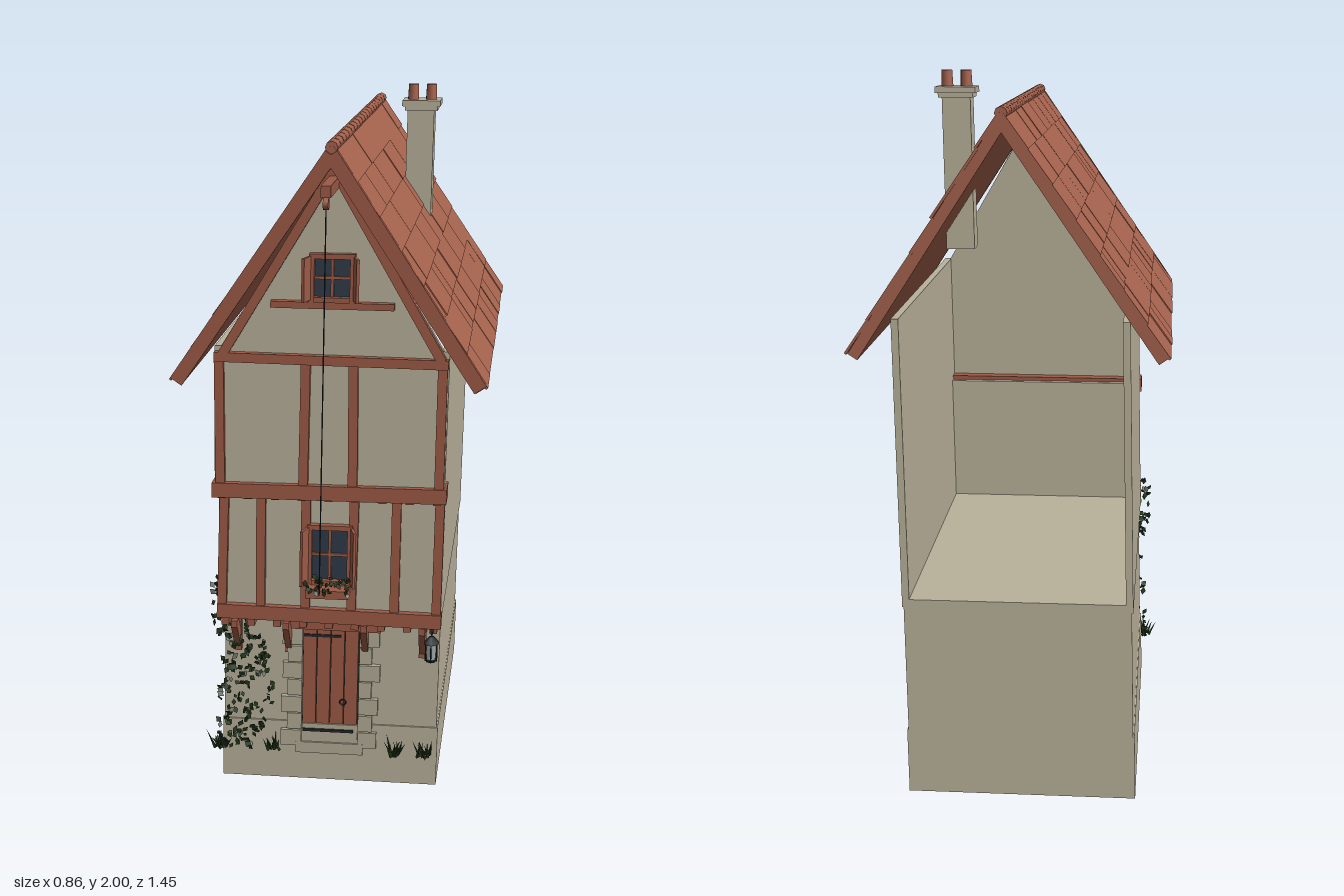
import * as THREE from 'three';
import { mergeGeometries } from 'three/addons/utils/BufferGeometryUtils.js';

const paint = (name, color, side = THREE.FrontSide) => {
  const m = new THREE.MeshStandardMaterial({ color, side });
  m.name = name;
  return m;
};

export function createModel() {
  const group = new THREE.Group();
  group.name = 'timberHouse';
  const plaster = paint('plaster', 0xb9b19b);
  const stone = paint('stone', 0xb3ab97);
  const timber = paint('timber', 0x9c5a46);
  const tile = paint('roofTile', 0xa5624d);
  const glass = paint('windowGlass', 0x2f3a48);
  const iron = paint('iron', 0x24282b);
  const lampGlass = paint('lampGlass', 0xa9b3b3);
  const leaf = paint('leaf', 0x23381c, THREE.DoubleSide);

  let seed = 7;
  const rnd = (a = 0, b = 1) => {
    seed = (seed * 16807) % 2147483647;
    return a + (b - a) * (seed / 2147483647);
  };

  // Merge the pieces of a part; the whole old house leans slightly to +x
  const part = (name, material, geos) => {
    const g = mergeGeometries(geos.map((q) => {
      const n = q.index ? q.toNonIndexed() : q;
      n.deleteAttribute('uv');
      return n;
    }));
    const p = g.attributes.position;
    for (let i = 0; i < p.count; i++) p.setX(i, p.getX(i) - 0.0325 + 0.0225 * p.getY(i));
    const mesh = new THREE.Mesh(g, material);
    mesh.name = name;
    group.add(mesh);
  };
  const box = (x0, x1, y0, y1, z0, z1) => new THREE.BoxGeometry(x1 - x0, y1 - y0, z1 - z0)
    .translate((x0 + x1) / 2, (y0 + y1) / 2, (z0 + z1) / 2);
  // Timber between two points of the facade plane
  const beam = (xa, ya, xb, yb, w, z0, z1) =>
    new THREE.BoxGeometry(Math.hypot(xb - xa, yb - ya), w, z1 - z0)
      .rotateZ(Math.atan2(yb - ya, xb - xa))
      .translate((xa + xb) / 2, (ya + yb) / 2, (z0 + z1) / 2);
  const extrude = (pts, depth) => new THREE.ExtrudeGeometry(
    new THREE.Shape(pts.map(([a, b]) => new THREE.Vector2(a, b))), { depth, bevelEnabled: false });
  const cyl = (r0, r1, h, x, y, z, n = 8) => new THREE.CylinderGeometry(r0, r1, h, n).translate(x, y, z);

  // Ground storey on a slightly wider plinth
  part('plinth', plaster, [box(-0.32, 0.32, 0, 0.185, -0.615, 0.393)]);
  part('groundStorey', plaster, [box(-0.316, 0.316, 0.185, 0.555, -0.615, 0.388)]);

  // Upper storeys: stepped side walls, jettied fronts, open back
  const sideWall = () => extrude([[-0.615, 0.55], [0.47, 0.55], [0.47, 0.95], [0.53, 0.95],
    [0.53, 1.36], [-0.615, 1.36]], 0.02).rotateY(-Math.PI / 2);
  part('sideWalls', plaster, [sideWall().translate(0.32, 0, 0), sideWall().translate(-0.3, 0, 0)]);
  part('upperFloor', plaster, [box(-0.3, 0.3, 0.55, 0.572, -0.615, 0.47)]);
  part('frontWalls', plaster, [
    box(-0.3, 0.3, 0.55, 0.96, 0.45, 0.47),
    box(-0.3, 0.3, 0.95, 1.34, 0.51, 0.53),
    box(-0.3, 0.3, 0.95, 0.962, 0.45, 0.53),
    extrude([[-0.32, 1.33], [0.32, 1.33], [0, 1.865]], 0.02).translate(0, 0, 0.51)]);

  // Facade timbers
  const posts = (xs, y0, y1, z) => xs.map((x) =>
    beam(x + rnd(-0.004, 0.004), y0, x + rnd(-0.004, 0.004), y1, 0.026, z, z + 0.014));
  part('lowerPosts', timber, posts([-0.305, -0.195, -0.07, 0.065, 0.185, 0.305], 0.575, 0.94, 0.47));
  part('upperPosts', timber, posts([-0.305, -0.07, 0.065, 0.303], 0.965, 1.325, 0.53));
  part('railBeams', timber, [
    beam(-0.322, 0.568, 0.322, 0.56, 0.042, 0.455, 0.49),
    beam(-0.326, 0.952, 0.326, 0.954, 0.042, 0.47, 0.548),
    beam(-0.32, 1.333, 0.318, 1.326, 0.026, 0.53, 0.55)]);
  const joists = [];
  for (let i = 0; i < 9; i++) {
    const x = -0.3 + i * 0.075;
    joists.push(box(x - 0.011, x + 0.011, 0.52, 0.548, 0.38, 0.475));
    joists.push(box(x - 0.011, x + 0.011, 0.925, 0.948, 0.46, 0.535));
  }
  part('joistEnds', timber, joists);
  part('gableTimbers', timber, [
    beam(-0.3, 1.335, 0.003, 1.85, 0.026, 0.53, 0.55),
    beam(0.3, 1.335, -0.003, 1.85, 0.026, 0.53, 0.55),
    beam(-0.165, 1.483, 0.168, 1.481, 0.018, 0.53, 0.552)]);
  part('jettyBrackets', timber, [-0.275, -0.125, 0.1, 0.267].flatMap((x) => [
    box(x - 0.01, x + 0.01, 0.41, 0.53, 0.385, 0.402),
    extrude([[0.39, 0.425], [0.405, 0.425], [0.47, 0.51], [0.47, 0.53], [0.445, 0.53], [0.39, 0.46]], 0.018)
      .rotateY(-Math.PI / 2).translate(x + 0.009, 0, 0)]));

  // Windows with frame, glazing bars and open shutters
  const windowUnit = (name, y0, y1, w, z) => {
    const f = 0.014, h = w / 2, ym = (y0 + y1) / 2;
    part(name + 'Glass', glass, [box(-h, h, y0, y1, z, z + 0.006)]);
    part(name + 'Frame', timber, [
      box(-h - f, -h, y0 - f, y1 + f, z, z + 0.02), box(h, h + f, y0 - f, y1 + f, z, z + 0.02),
      box(-h, h, y1, y1 + f, z, z + 0.02), box(-h, h, y0 - f, y0, z, z + 0.024),
      box(-0.004, 0.004, y0, y1, z, z + 0.012), box(-h, h, ym - 0.004, ym + 0.004, z, z + 0.012)]);
    part(name + 'Shutters', timber, [-1, 1].map((s) =>
      new THREE.BoxGeometry(0.008, y1 - y0 + 0.015, 0.048).rotateY(s * 0.3)
        .translate(s * (h + f + 0.004), ym, z + 0.035)));
  };
  windowUnit('lowerWindow', 0.675, 0.825, 0.1, 0.472);
  windowUnit('gableWindow', 1.505, 1.608, 0.096, 0.532);
  part('windowBox', timber, [box(-0.06, 0.06, 0.638, 0.662, 0.475, 0.54)]);

  // Door with planks, ironwork, stone jambs and steps
  part('doorPlanks', timber, [0, 1, 2, 3].map((i) =>
    box(-0.082 + i * 0.041, -0.043 + i * 0.041, 0.185, 0.495, 0.385, 0.399)));
  part('doorBack', iron, [box(-0.083, 0.083, 0.185, 0.495, 0.385, 0.393)]);
  part('doorLintel', timber, [beam(-0.14, 0.506, 0.145, 0.503, 0.03, 0.385, 0.415)]);
  part('doorIronwork', iron, [
    box(-0.08, 0.03, 0.462, 0.47, 0.397, 0.402), box(-0.08, 0.07, 0.16, 0.168, 0.397, 0.405),
    new THREE.TorusGeometry(0.009, 0.002, 5, 12).translate(0.038, 0.258, 0.402)]);
  const jambs = [];
  for (let i = 0; i < 7; i++) {
    for (const s of [-1, 1]) {
      const w = (i % 2 ? 0.04 : 0.058) + rnd(-0.004, 0.004), y = 0.112 + i * 0.054;
      jambs.push(box(Math.min(s * 0.084, s * (0.084 + w)), Math.max(s * 0.084, s * (0.084 + w)),
        y, y + 0.05, 0.38, 0.402 + rnd(0, 0.004)));
    }
  }
  part('doorJambStones', stone, jambs);
  part('doorSteps', stone, [box(-0.083, 0.083, 0.125, 0.183, 0.38, 0.4), box(-0.1, 0.1, 0.09, 0.125, 0.38, 0.406)]);

  // Roof: chevron slab, overlapping tile courses, ridge caps and bargeboards
  const angle = Math.atan2(0.63, 0.42), c = Math.cos(angle), s1 = Math.sin(angle);
  part('roofSlab', tile, [extrude([[0, 1.915], [-0.42, 1.285], [-0.395, 1.268], [0, 1.861],
    [0.395, 1.268], [0.42, 1.285]], 1.335).translate(0, 0, -0.72)]);
  const tiles = [];
  for (const s of [-1, 1]) {
    for (let r = 0; r < 7; r++) {
      for (let z = -0.722; z < 0.615;) {
        let len = rnd(0.08, 0.3);
        if (z + len > 0.56) len = 0.618 - z;
        const d = 0.06 + r * 0.1075, n = rnd(0.0005, 0.004);
        tiles.push(new THREE.BoxGeometry(0.112, 0.007, len)
          .rotateZ(-s * (angle - 0.025))
          .translate(s * (c * d + s1 * n), 1.915 - s1 * d + c * n, z + len / 2));
        z += len;
      }
    }
  }
  part('roofTiles', tile, tiles);
  const caps = [];
  for (let i = 0; i < 20; i++) {
    caps.push(new THREE.CylinderGeometry(0.017, 0.017, 0.063, 8).rotateX(Math.PI / 2)
      .translate(0, 1.91, -0.688 + i * 0.067));
  }
  part('ridgeCaps', tile, caps);
  part('bargeboards', timber, [-1, 1].map((s) =>
    beam(0, 1.893, s * 0.408, 1.281, 0.038, 0.605, 0.625)));

  // Chimney with cap and two pots
  part('chimneyStack', plaster, [box(0.13, 0.21, 1.5, 1.93, -0.258, -0.178)]);
  part('chimneyCap', plaster, [box(0.122, 0.22, 1.925, 1.942, -0.264, -0.172), box(0.114, 0.228, 1.938, 1.955, -0.27, -0.168)]);
  part('chimneyPots', tile, [0.144, 0.198].map((x) => cyl(0.015, 0.017, 0.05, x, 1.975, -0.218, 12)));

  // Hoist beam, pulley and rope
  part('hoistBeam', timber, [box(-0.012, 0.014, 1.797, 1.828, 0.52, 0.725)]);
  part('hoistPulley', timber, [new THREE.CylinderGeometry(0.016, 0.016, 0.014, 12).rotateZ(Math.PI / 2).translate(0, 1.78, 0.705)]);
  part('hoistRope', iron, [cyl(0.0018, 0.0018, 1.06, 0, 1.245, 0.705, 5)]);

  // Hanging lantern
  const lx = 0.297, lz = 0.483;
  part('lanternIron', iron, [
    box(lx - 0.004, lx + 0.004, 0.525, 0.533, 0.385, 0.492),
    box(lx - 0.002, lx + 0.002, 0.505, 0.528, lz - 0.002, lz + 0.002),
    cyl(0.006, 0.024, 0.02, lx, 0.505, lz, 6), cyl(0.017, 0.014, 0.008, lx, 0.442, lz, 6),
    ...[0, 1, 2, 3, 4, 5].map((i) => cyl(0.002, 0.002, 0.054,
      lx + 0.018 * Math.sin(i * Math.PI / 3), 0.47, lz + 0.018 * Math.cos(i * Math.PI / 3), 4))]);
  part('lanternGlass', lampGlass, [cyl(0.018, 0.014, 0.05, lx, 0.471, lz, 6)]);

  // Climbing ivy, window flowers and grass tufts
  const leafAt = (x, y, z, r) => new THREE.CircleGeometry(r, 4).scale(0.7, 1, 1)
    .rotateX(rnd(-0.7, 0.7)).rotateY(rnd(-0.8, 0.8)).rotateZ(rnd(-1, 1)).translate(x, y, z);
  const ivy = [];
  for (let i = 0; i < 210; i++) {
    const y = rnd(0.1, 0.54), w = 0.08 + 0.09 * Math.sin((y - 0.06) / 0.5 * Math.PI);
    ivy.push(leafAt(-0.335 + w * rnd(), y, rnd(0.396, 0.418), rnd(0.008, 0.014)));
  }
  for (let i = 0; i < 14; i++) ivy.push(leafAt(rnd(-0.35, -0.325), rnd(0.5, 0.65), rnd(0.4, 0.42), 0.012));
  part('ivy', leaf, ivy);
  const boxLeaves = [];
  for (let i = 0; i < 40; i++) boxLeaves.push(leafAt(rnd(-0.065, 0.065), rnd(0.655, 0.7), rnd(0.51, 0.56), 0.01));
  part('windowBoxPlants', leaf, boxLeaves);
  const grass = [];
  for (const x of [-0.325, -0.165, 0.2, 0.28]) {
    for (let i = 0; i < 14; i++) {
      const h = rnd(0.03, 0.06);
      grass.push(new THREE.ConeGeometry(0.005, h, 3).translate(0, h / 2, 0)
        .rotateZ(rnd(-0.5, 0.5)).rotateX(rnd(-0.2, 0.5)).translate(x + rnd(-0.02, 0.02), 0.103, rnd(0.4, 0.435)));
    }
  }
  part('grassTufts', leaf, grass);
  return group;
}
